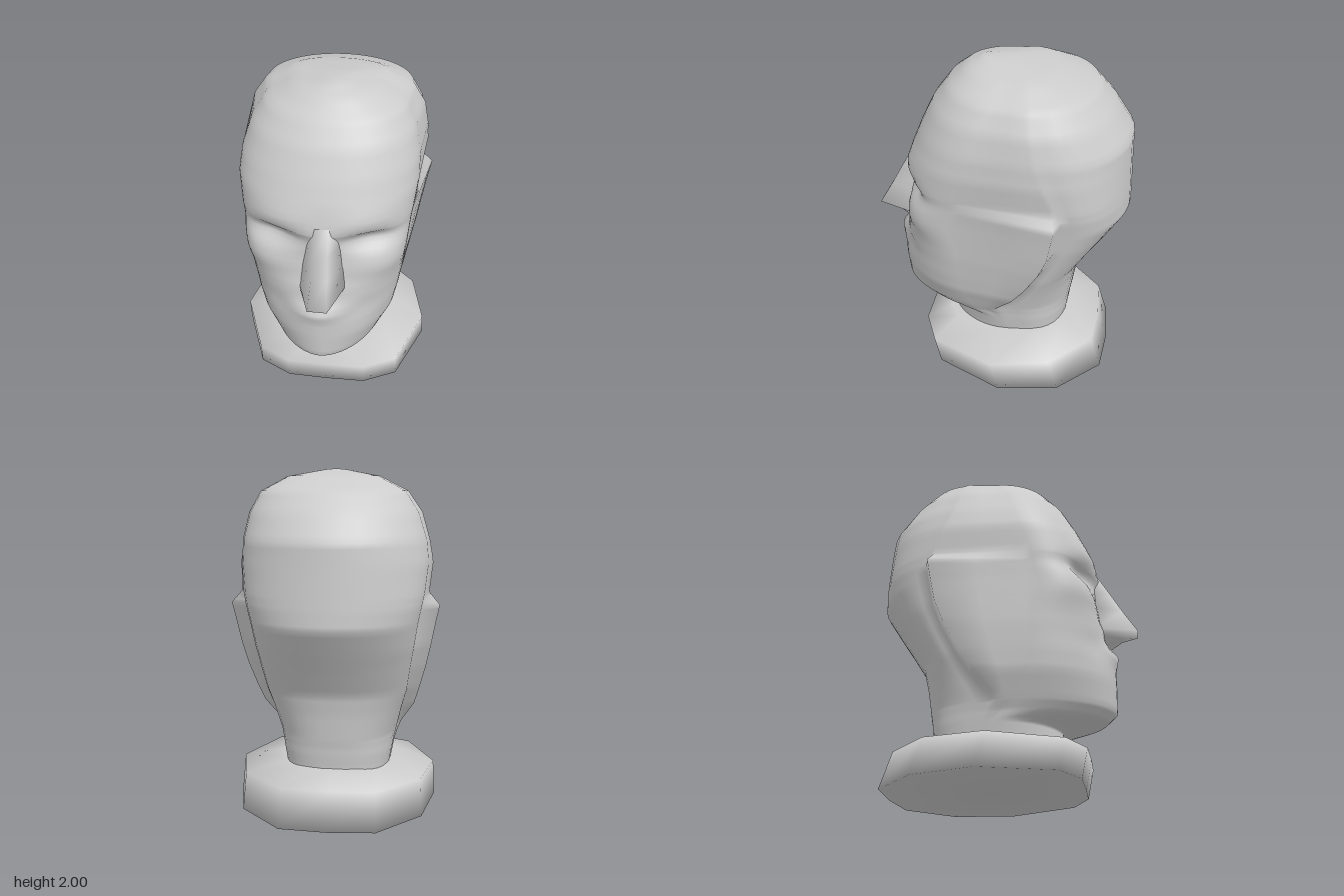
import * as THREE from 'three';

// Skin a stack of closed rings (bottom to top, counter-clockwise from above), capping both ends.
function loft(rings) {
  const n = rings[0].length, pos = [], idx = [];
  for (const ring of rings) for (const p of ring) pos.push(...p);
  for (let i = 0; i < rings.length - 1; i++) {
    for (let j = 0; j < n; j++) {
      const a = i * n + j, b = i * n + (j + 1) % n;
      idx.push(a, b, b + n, a, b + n, a + n);
    }
  }
  [0, rings.length - 1].forEach((r, top) => {
    const c = [0, 1, 2].map(k => rings[r].reduce((s, p) => s + p[k], 0) / n);
    const centre = pos.length / 3;
    pos.push(...c);
    for (let j = 0; j < n; j++) {
      const a = r * n + j, b = r * n + (j + 1) % n;
      if (top) idx.push(a, b, centre); else idx.push(b, a, centre);
    }
  });
  const g = new THREE.BufferGeometry();
  g.setAttribute('position', new THREE.Float32BufferAttribute(pos, 3));
  g.setIndex(idx);
  g.computeVertexNormals();
  return g;
}

// Complete a half outline (front centre to back centre, x >= 0) by mirroring it.
const mirror = half => [...half, ...half.slice(1, -1).reverse().map(([x, y, z]) => [-x, y, z])];

// Head sections: y, front z, temple z, temple x, jaw/ear edge z, edge x, x behind the edge, back z
const SECTIONS = [
  [0.20, 0.32, -0.05, 0.31, -0.10, 0.31, 0.31, -0.44],
  [0.27, 0.32, -0.05, 0.325, -0.10, 0.325, 0.32, -0.44],
  [0.345, 0.31, -0.03, 0.34, -0.08, 0.34, 0.335, -0.45],
  [0.395, 0.57, 0.02, 0.345, -0.05, 0.355, 0.345, -0.455],
  [0.45, 0.63, 0.08, 0.365, -0.02, 0.38, 0.36, -0.465],
  [0.60, 0.635, 0.14, 0.42, -0.14, 0.46, 0.39, -0.485],
  [0.72, 0.635, 0.15, 0.44, -0.22, 0.49, 0.42, -0.51],
  [0.87, 0.61, 0.15, 0.46, -0.30, 0.525, 0.44, -0.605],
  [1.00, 0.56, 0.15, 0.47, -0.35, 0.55, 0.46, -0.69],
  [1.14, 0.54, 0.15, 0.48, -0.375, 0.575, 0.48, -0.78],
  [1.24, 0.55, 0.15, 0.49, -0.39, 0.595, 0.50, -0.777],
  [1.31, 0.565, 0.15, 0.50, -0.37, 0.535, 0.515, -0.773],
  [1.47, 0.52, 0.10, 0.52, -0.30, 0.555, 0.535, -0.765],
  [1.60, 0.465, 0.05, 0.51, -0.25, 0.54, 0.53, -0.76],
  [1.75, 0.39, 0.00, 0.47, -0.22, 0.505, 0.49, -0.66],
  [1.87, 0.30, -0.05, 0.40, -0.20, 0.43, 0.42, -0.55],
  [1.955, 0.20, -0.08, 0.25, -0.17, 0.27, 0.26, -0.31],
  [2.00, 0.10, 0.04, 0.05, 0.02, 0.05, 0.05, -0.05],
];

const bump = (x, y, cx, cy, sx, sy) =>
  Math.exp(-(((x - cx) / sx) ** 2) - ((y - cy) / sy) ** 2);

// Eye sockets, brow, lips, upper lip hollow and mouth corners
function faceRelief(x, y) {
  return -0.08 * bump(x, y, 0.28, 1.25, 0.16, 0.07)
    + 0.015 * bump(x, y, 0.24, 1.38, 0.16, 0.06)
    + 0.035 * bump(x, y, 0, 0.785, 0.14, 0.035)
    - 0.025 * bump(x, y, 0, 0.875, 0.14, 0.04)
    - 0.02 * bump(x, y, 0.24, 0.78, 0.09, 0.1);
}

function headRing([y, zf, zs, ws, ze, we, wn, zb]) {
  const half = [], FRONT = 16, BACK = 9;
  // Lower powers make a section squarer: pointed jaw, square cheekbones, round brow
  const along = (a, b, from, to) => THREE.MathUtils.lerp(from, to, THREE.MathUtils.clamp((y - a) / (b - a), 0, 1));
  const frontPower = along(0.4, 1.4, 1.12, 0.92) - 0.36 * bump(0, y, 0, 1.1, 1, 0.16);
  const backPower = along(0.4, 0.9, 0.82, 1);
  for (let i = 0; i <= FRONT; i++) {
    const t = (i / FRONT) * Math.PI / 2;
    const x = ws * Math.sin(t) ** frontPower;
    const c = i === FRONT ? 0 : Math.cos(t) ** frontPower;
    half.push([x, y, zs + (zf - zs) * c + faceRelief(x, y) * Math.sqrt(c)]);
  }
  half.push([(ws + we) / 2, y, (zs + ze) / 2], [we, y, ze]);
  const zn = ze - 0.03;
  for (let i = 0; i <= BACK; i++) {
    const t = (i / BACK) * Math.PI / 2;
    half.push([i === BACK ? 0 : wn * Math.cos(t) ** backPower, y, zn + (zb - zn) * Math.sin(t) ** backPower]);
  }
  // The head leans slightly to its right, and the crown to its left
  const lean = y < 1.5 ? -0.014 : -0.014 + 0.06 * (y - 1.5);
  return mirror(half).map(([x, h, z]) => [x + lean, h, z]);
}

function headGeometry() {
  const rings = [], STEPS = 4;
  SECTIONS.forEach((s, i) => {
    const next = SECTIONS[i + 1];
    if (!next) return rings.push(headRing(s));
    for (let k = 0; k < STEPS; k++) {
      rings.push(headRing(s.map((v, c) => v + (next[c] - v) * k / STEPS)));
    }
  });
  return loft(rings);
}

// Nose sections: y, ridge z, ridge half width, root z, root half width
function noseGeometry() {
  const rows = [
    [0.86, 0.60, 0.02, 0.50, 0.05],
    [0.92, 0.68, 0.03, 0.53, 0.14],
    [0.955, 0.78, 0.055, 0.53, 0.14],
    [1.10, 0.695, 0.045, 0.50, 0.13],
    [1.22, 0.63, 0.04, 0.47, 0.12],
    [1.36, 0.55, 0.04, 0.46, 0.10],
  ];
  return loft(rows.map(([y, z, w, zr, wr]) =>
    [[-w, y, z], [w, y, z], [wr, y, zr], [-wr, y, zr]]));
}

// Faceted plinth whose top rises gently into the neck
function baseGeometry() {
  const outline = [[0, 0.455], [0.24, 0.45], [0.44, 0.35], [0.6, -0.05], [0.52, -0.4], [0.27, -0.64], [0, -0.66]];
  const ring = (y, sx, sz, dz, lift = 0) => mirror(outline.map(([x, z]) =>
    [x * sx, y + lift * (0.46 - z), z * sz + dz]));
  return loft([
    ring(0.02, 1.015, 1.03, -0.04, -0.018),
    ring(0.19, 1, 1, 0.01, 0.02),
    ring(0.225, 0.55, 0.68, 0.01, 0.04),
  ]);
}

export function createModel() {
  const group = new THREE.Group();
  group.name = 'headBust';
  const clay = new THREE.MeshStandardMaterial({ color: 0xcccccc });
  clay.name = 'grey clay';
  const parts = { headAndNeck: headGeometry(), nose: noseGeometry(), base: baseGeometry() };
  for (const [name, geometry] of Object.entries(parts)) {
    const mesh = new THREE.Mesh(geometry, clay);
    mesh.name = name;
    group.add(mesh);
  }
  return group;
}
